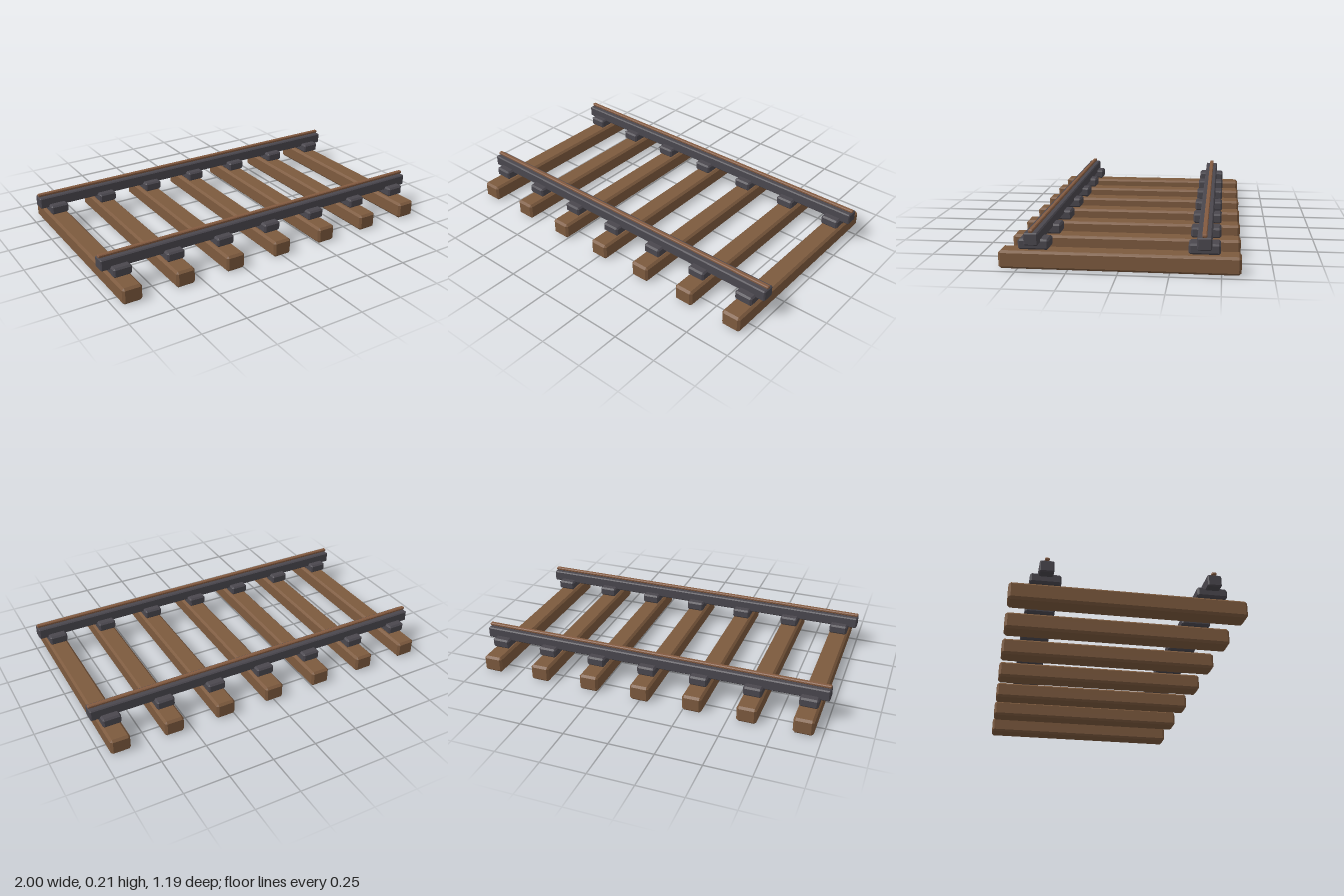
import * as THREE from 'three';
import { ConvexGeometry } from 'three/addons/geometries/ConvexGeometry.js';

// Box with flat chamfers of size c on every edge
function chamferBox(w, h, d, c) {
  const half = [w / 2, h / 2, d / 2];
  const points = [];
  for (const sx of [-1, 1]) for (const sy of [-1, 1]) for (const sz of [-1, 1]) {
    const s = [sx, sy, sz];
    // each corner becomes three points, one on each adjoining face
    for (let face = 0; face < 3; face++) {
      points.push(new THREE.Vector3(
        ...s.map((sign, axis) => sign * (half[axis] - (axis === face ? 0 : c)))));
    }
  }
  return new ConvexGeometry(points);
}

function flatMaterial(name, color) {
  const material = new THREE.MeshStandardMaterial({ color });
  material.name = name;
  return material;
}

export function createModel() {
  const model = new THREE.Group();
  model.name = 'railwayTrack';

  const wood = flatMaterial('wood', 0x7d5a3e);
  const iron = flatMaterial('iron', 0x4a474e);
  const wornTop = flatMaterial('wornTop', 0x835a40);

  function add(name, geometry, material, x, y, z) {
    const mesh = new THREE.Mesh(geometry, material);
    mesh.name = name;
    mesh.position.set(x, y, z);
    model.add(mesh);
  }

  const gauge = 0.417; // rail distance from the centre line
  const sleeper = chamferBox(0.109, 0.092, 1.19, 0.012);
  const chair = chamferBox(0.102, 0.053, 0.154, 0.009);
  const rail = chamferBox(2, 0.063, 0.071, 0.006);
  const strip = chamferBox(2, 0.016, 0.023, 0.004);

  // Seven sleepers, each with a chair under both rails
  for (let i = -3; i <= 3; i++) {
    const x = i * 0.3;
    add('sleeper', sleeper, wood, x, 0.046, 0);
    for (const side of [-1, 1]) add('railChair', chair, iron, x, 0.1265, side * gauge);
  }

  // Rails with a worn running strip on top
  for (const side of [-1, 1]) {
    add('rail', rail, iron, 0, 0.1655, side * gauge);
    add('runningStrip', strip, wornTop, 0, 0.206, side * gauge);
  }

  return model;
}
